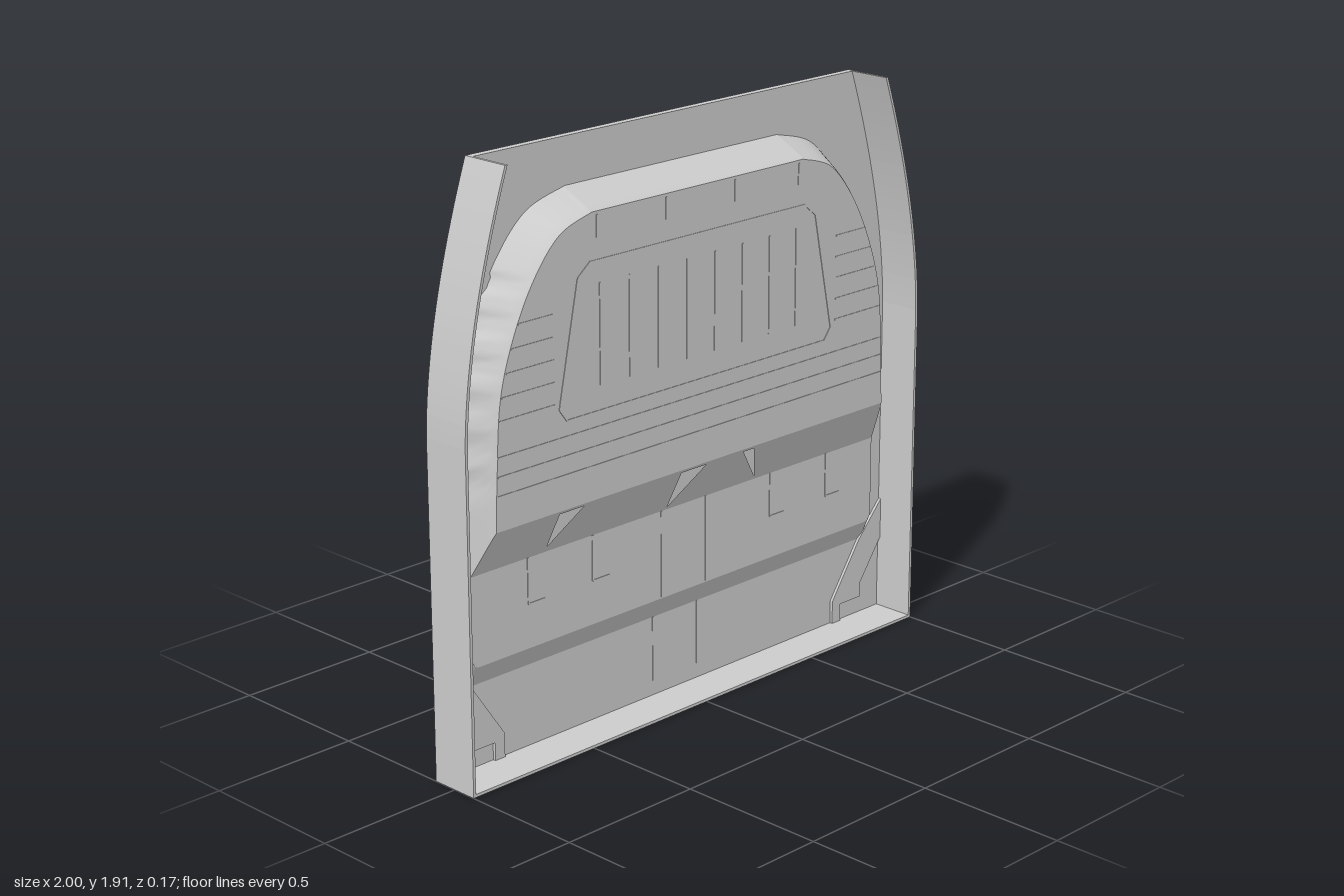
import * as THREE from 'three';

const mat = new THREE.MeshStandardMaterial({ color: 0xcccccc, side: THREE.DoubleSide });
const BACK = -0.085, FRONT = 0.085, BASE = -0.06, LOW = -0.02, FACE = 0.055;
const V = (x, y) => new THREE.Vector2(x, y);
const poly = (pts) => pts.map(([x, y]) => V(x, y));
const mirrorX = (pts) => [...pts, ...pts.slice().reverse().map((p) => V(-p.x, p.y))];

function add(group, name, geo) {
  const mesh = new THREE.Mesh(geo, mat);
  mesh.name = name;
  group.add(mesh);
  return mesh;
}

// Flat plate between two depths
function plate(points, z0, z1, holes = []) {
  const shape = new THREE.Shape(points);
  holes.forEach((h) => shape.holes.push(new THREE.Path(h)));
  return new THREE.ExtrudeGeometry(shape, { depth: z1 - z0, bevelEnabled: false }).translate(0, 0, z0);
}

// Surface through rings that share one point count
function loft(rings) {
  const n = rings[0].length, index = [];
  for (let r = 0; r < rings.length - 1; r++) {
    for (let i = 0; i < n - 1; i++) {
      const a = r * n + i, b = a + 1, c = a + n, d = c + 1;
      index.push(a, b, c, b, d, c);
    }
  }
  const geo = new THREE.BufferGeometry().setFromPoints(rings.flat());
  geo.setIndex(index);
  geo.computeVertexNormals();
  return geo;
}

// Right half of the outer silhouette, bottom to top
function halfOutline(inset) {
  const curve = new THREE.QuadraticBezierCurve(V(1 - inset, 1.1), V(0.99 - inset, 1.45), V(0.825 - inset, 1.91));
  return [V(1 - inset, inset), ...curve.getPoints(20)];
}

// Arch contour of the raised panel; s = 0 at the foot, 1 at the face
const outerArch = new THREE.SplineCurve(poly([[0.92, 0.65], [0.92, 0.92], [0.9, 1.2], [0.84, 1.4], [0.745, 1.58], [0.62, 1.71], [0.46, 1.76]]));
const innerArch = new THREE.SplineCurve(poly([[0.86, 0.8], [0.853, 0.97], [0.835, 1.2], [0.78, 1.38], [0.695, 1.54], [0.59, 1.655], [0.46, 1.7]]));
const ledgeY = (z) => 0.65 + 0.15 * Math.max(0, (z - LOW) / (FACE - LOW));

function archRing(s, z) {
  const half = [];
  for (let i = 0; i <= 72; i++) {
    const p = outerArch.getPoint(i / 72).lerp(innerArch.getPoint(i / 72), s);
    if (i === 0) p.y = ledgeY(z);
    // shallow steps running up the side
    const stepped = p.y > 0.9 && p.y < 1.55 && Math.floor((p.y - 0.9) / 0.06) % 2 === 0;
    if (stepped) p.x -= 0.012 * (1 - s);
    half.push(p);
  }
  return mirrorX(half).map((p) => new THREE.Vector3(p.x, p.y, z));
}

// U-shaped contour of the lower raised panel with rounded corners
function lowerHalf(w, bottom, r) {
  const pts = [V(w, 0.65)];
  for (let i = 0; i <= 8; i++) {
    const a = (i / 8) * Math.PI / 2;
    pts.push(V(w - r + r * Math.cos(a), bottom + r - r * Math.sin(a)));
  }
  return pts;
}

export function createModel() {
  const model = new THREE.Group();
  model.name = 'rearPanel';

  // Thin surround: both sides and the floor, open at the top
  const outer = halfOutline(0), inner = halfOutline(0.01);
  const ring = [...outer.slice().reverse(), ...outer.map((p) => V(-p.x, p.y)),
    ...inner.slice().reverse().map((p) => V(-p.x, p.y)), ...inner];
  add(model, 'surround', plate(ring, BACK, FRONT));

  // Back sheet with the slot and its two pointed ends
  const slot = mirrorX(poly([[0.8, 0.32], [0.9, 0.47], [0.9, 0.33], [0.87, 0.29]]));
  add(model, 'backSheet', plate(mirrorX(halfOutline(0.01)), -0.075, BASE, [slot]));
  const rim = add(model, 'topRim', new THREE.BoxGeometry(1.64, 0.015, BASE - BACK));
  rim.position.set(0, 1.9025, (BASE + BACK) / 2);

  // Upper raised panel: rounded border and flat face
  const levels = [[0, BASE], [0.33, LOW], [0.7, 0.025], [0.88, 0.045], [1, FACE]];
  const rings = levels.map(([s, z]) => archRing(s, z));
  add(model, 'upperBorder', loft(rings));
  const facePts = rings[4].map((p) => V(p.x, p.y));
  add(model, 'upperFace', new THREE.ShapeGeometry(new THREE.Shape(facePts)).translate(0, 0, FACE));

  // Sloping ledge under the upper panel, with three triangular openings
  const edge = rings.slice(1).map((r) => V(r[0].x, r[0].y));
  const ledgeShape = new THREE.Shape(mirrorX(edge));
  [[[-0.6, 0.67], [-0.6, 0.79], [-0.5, 0.79]],
    [[-0.08, 0.66], [-0.08, 0.79], [0.03, 0.79]],
    [[0.32, 0.66], [0.2, 0.79], [0.25, 0.79]]].forEach((t) => ledgeShape.holes.push(new THREE.Path(poly(t))));
  const ledge = new THREE.ShapeGeometry(ledgeShape);
  const lp = ledge.attributes.position;
  for (let i = 0; i < lp.count; i++) lp.setZ(i, LOW + (lp.getY(i) - 0.65) * (FACE - LOW) / 0.15);
  ledge.computeVertexNormals();
  add(model, 'ledge', ledge);

  // Lower raised panel: border and face
  const foot = mirrorX(lowerHalf(0.92, 0.28, 0.05)), lip = mirrorX(lowerHalf(0.9, 0.355, 0.03));
  add(model, 'lowerBorder', loft([lip, foot].map((r, k) => r.map((p) => new THREE.Vector3(p.x, p.y, k ? BASE : LOW)))));
  add(model, 'lowerFace', new THREE.ShapeGeometry(new THREE.Shape(lip)).translate(0, 0, LOW));

  // Stepped corner brackets, front and back
  const bracket = [[0.99, 0.26], [0.89, 0.12], [0.89, 0.07], [0.79, 0.07], [0.79, 0.01], [0.75, 0.01], [0.75, 0.09], [0.88, 0.28], [0.99, 0.4]];
  for (const side of [1, -1]) {
    const pts = poly(bracket.map(([x, y]) => [x * side, y]));
    add(model, 'cornerBracketFront', plate(pts, BASE, -0.05));
    add(model, 'cornerBracketBack', plate(pts, -0.082, -0.075));
  }

  // Fine seams pressed into the panels
  const seam = (name, x0, y0, x1, y1, z) => {
    const m = add(model, name, new THREE.BoxGeometry(Math.hypot(x1 - x0, y1 - y0), 0.005, 0.004));
    m.position.set((x0 + x1) / 2, (y0 + y1) / 2, z);
    m.rotation.z = Math.atan2(y1 - y0, x1 - x0);
  };
  for (const y of [0.91, 0.97, 1.03]) seam('crossSeam', -0.85, y, 0.85, y, FACE);
  for (let i = 0; i < 8; i++) seam('slatSeam', -0.43 + i * 0.123, 1.16, -0.43 + i * 0.123, 1.48, FACE);
  seam('insetSeam', -0.47, 1.55, 0.47, 1.55, FACE);
  seam('insetSeam', -0.57, 1.08, 0.57, 1.08, FACE);
  for (const s of [1, -1]) {
    seam('insetSeam', s * 0.52, 1.51, s * 0.6, 1.12, FACE);
    seam('insetSeam', s * 0.47, 1.55, s * 0.52, 1.51, FACE);
    seam('insetSeam', s * 0.57, 1.08, s * 0.6, 1.12, FACE);
    for (const [y, w] of [[1.14, 0.84], [1.21, 0.83], [1.28, 0.81], [1.35, 0.79], [1.42, 0.76]]) seam('sideSeam', s * 0.62, y, s * w, y, FACE);
    for (const x of [0.15, 0.44]) seam('topSeam', s * x, 1.62, s * x, 1.69, FACE);
    for (const x of [0.4, 0.67]) {
      seam('lowerSeam', s * x, 0.5, s * x, 0.65, LOW);
      seam('lowerSeam', s * x, 0.5, s * x + 0.07, 0.5, LOW);
    }
    seam('centreSeam', s * 0.1, 0.36, s * 0.1, 0.65, LOW);
    seam('centreSeam', s * 0.1, 0.06, s * 0.1, 0.28, BASE);
  }
  return model;
}
